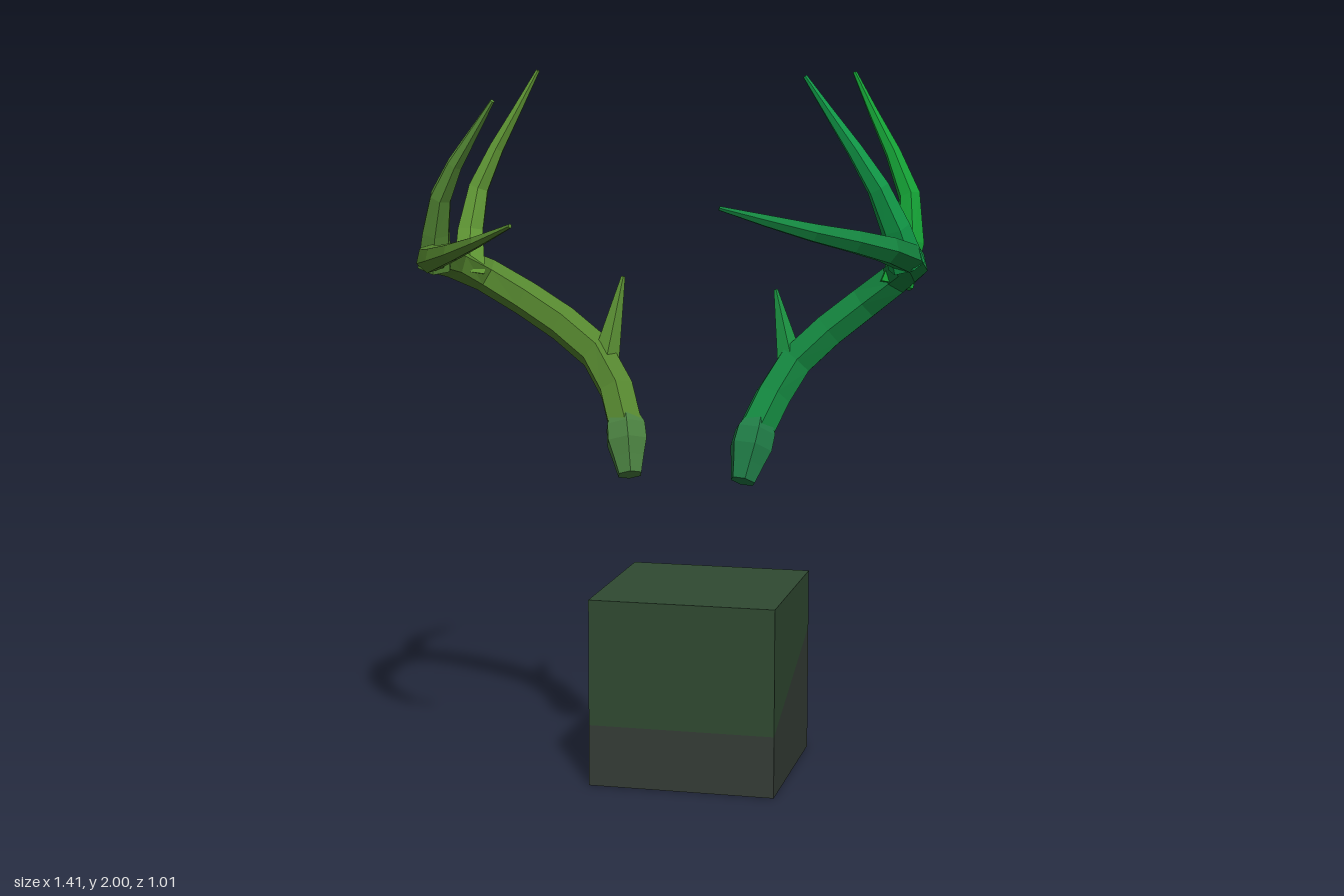
import * as THREE from 'three';

const material = (color) => new THREE.MeshStandardMaterial({ color, flatShading: true });

// Radius rules along a limb, t from 0 at the root to 1 at the tip
const taper = (root, power) => (t) => root * (1 - t ** power) + 0.006;
const beamRadius = taper(0.047, 3);
const tineRadius = taper(0.046, 0.9);
const browRadius = taper(0.038, 1);
const spikeRadius = taper(0.02, 1);
const pedicleRadius = (t) => 0.036 + 0.028 * Math.sin(Math.PI * t ** 1.4);

// Faceted limb: rings along a smooth curve, closed at both ends
function limb(name, color, points, radius, segments, sides = 6) {
  const curve = new THREE.CatmullRomCurve3(points.map((p) => new THREE.Vector3(...p)));
  const pos = [];
  const idx = [];
  const n = new THREE.Vector3(0.31, 0.2, 0.93);
  for (let i = 0; i <= segments; i++) {
    const p = curve.getPointAt(i / segments);
    const t = curve.getTangentAt(i / segments);
    const r = radius(i / segments);
    n.addScaledVector(t, -n.dot(t)).normalize();
    const b = t.clone().cross(n);
    for (let j = 0; j < sides; j++) {
      const a = (j / sides) * Math.PI * 2;
      const v = p.clone().addScaledVector(n, Math.cos(a) * r).addScaledVector(b, Math.sin(a) * r);
      pos.push(v.x, v.y, v.z);
    }
  }
  const last = segments * sides;
  for (let j = 0; j < sides; j++) {
    const k = (j + 1) % sides;
    for (let r = 0; r < last; r += sides) {
      idx.push(r + j, r + k, r + sides + k, r + j, r + sides + k, r + sides + j);
    }
    if (j > 0 && k > 0) idx.push(0, k, j, last, last + j, last + k);
  }
  const geo = new THREE.BufferGeometry();
  geo.setAttribute('position', new THREE.Float32BufferAttribute(pos, 3));
  geo.setIndex(idx);
  const flat = geo.toNonIndexed();
  flat.computeVertexNormals();
  const mesh = new THREE.Mesh(flat, material(color));
  mesh.name = name;
  return mesh;
}

function group(name, ...parts) {
  const g = new THREE.Group();
  g.name = name;
  g.add(...parts);
  return g;
}

// Half of the block: its front and back edges differ in height so the divide slopes
function blockPart(name, color, frontLow, frontHigh, backLow, backHigh) {
  const shape = new THREE.Shape();
  shape.moveTo(-0.025, frontLow);
  shape.lineTo(0.505, backLow);
  shape.lineTo(0.505, backHigh);
  shape.lineTo(-0.025, frontHigh);
  const geo = new THREE.ExtrudeGeometry(shape, { depth: 0.53, bevelEnabled: false });
  geo.rotateY(Math.PI / 2);
  geo.translate(-0.215, 0, 0);
  const mesh = new THREE.Mesh(geo, material(color));
  mesh.name = name;
  return mesh;
}

function leftAntler() {
  const beam = [
    [0.23, 1.0, -0.09], [0.32, 1.19, -0.215], [0.6, 1.43, -0.23], [0.66, 1.485, -0.08],
    [0.62, 1.535, 0.12], [0.43, 1.595, 0.315], [0.23, 1.65, 0.375],
  ];
  const brow = [[0.315, 1.16, -0.205], [0.26, 1.39, -0.24]];
  const back = [[0.6, 1.41, -0.215], [0.638, 1.6, -0.265], [0.455, 1.99, -0.372]];
  const middle = [[0.655, 1.48, -0.03], [0.6, 1.66, 0.035], [0.395, 1.98, 0.083]];
  return group('leftAntler',
    limb('pedicle', 0x1f7a45, [[0.213, 0.88, -0.025], [0.24, 1.05, -0.115]], pedicleRadius, 4),
    limb('burrSpike', 0x1f7a45, [[0.2, 0.97, -0.07], [0.152, 0.955, -0.18]], spikeRadius, 1, 4),
    limb('beam', 0x14853f, beam, beamRadius, 12),
    limb('browTine', 0x1a9040, brow, browRadius, 2, 5),
    limb('backTine', 0x14a035, back, tineRadius, 5),
    limb('middleTine', 0x119a48, middle, tineRadius, 5));
}

function rightAntler() {
  const beam = [
    [-0.13, 1.0, -0.08], [-0.23, 1.185, -0.195], [-0.6, 1.42, -0.24], [-0.668, 1.475, -0.06],
    [-0.61, 1.49, 0.17], [-0.43, 1.545, 0.41], [-0.285, 1.605, 0.498],
  ];
  const brow = [[-0.225, 1.16, -0.19], [-0.175, 1.42, -0.22]];
  const back = [[-0.625, 1.42, -0.2], [-0.62, 1.63, -0.245], [-0.425, 1.995, -0.232]];
  const middle = [[-0.66, 1.46, 0.0], [-0.605, 1.66, 0.095], [-0.425, 1.915, 0.192]];
  return group('rightAntler',
    limb('pedicle', 0x4a8040, [[-0.108, 0.885, -0.03], [-0.145, 1.055, -0.11]], pedicleRadius, 4),
    limb('beam', 0x55862f, beam, beamRadius, 12),
    limb('browTine', 0x5c9235, brow, browRadius, 2, 5),
    limb('backTine', 0x659f38, back, tineRadius, 5),
    limb('middleTine', 0x5f9a3c, middle, tineRadius, 5));
}

export function createModel() {
  return group('antlersAndBlock',
    blockPart('blockLower', 0x353d36, 0, 0.175, 0, 0.365),
    blockPart('blockUpper', 0x304a32, 0.175, 0.535, 0.365, 0.535),
    leftAntler(),
    rightAntler());
}
